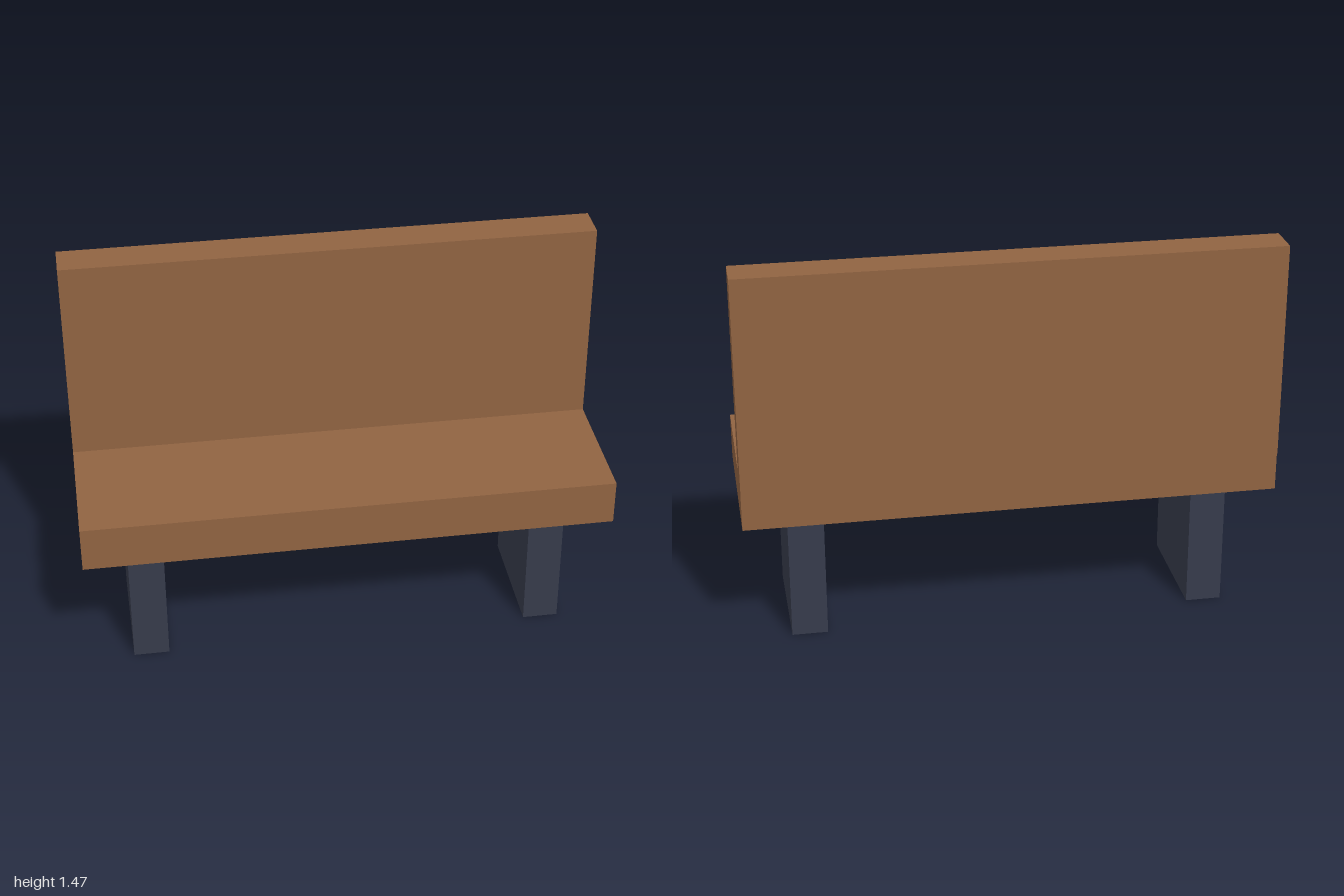
import * as THREE from 'three';

const wood = new THREE.MeshStandardMaterial({ color: 0x906341 });
wood.name = 'brown wood';
const metal = new THREE.MeshStandardMaterial({ color: 0x363b4b });
metal.name = 'dark slate';

// Box given by its [min, max] range on each axis
function box(name, material, [x0, x1], [y0, y1], [z0, z1]) {
  const mesh = new THREE.Mesh(new THREE.BoxGeometry(x1 - x0, y1 - y0, z1 - z0), material);
  mesh.position.set((x0 + x1) / 2, (y0 + y1) / 2, (z0 + z1) / 2);
  mesh.name = name;
  return mesh;
}

export function createModel() {
  const bench = new THREE.Group();
  bench.name = 'bench';

  // Thick seat slab, with the backrest sunk slightly into its rear edge
  bench.add(box('seat', wood, [-1, 1], [0.502, 0.677], [-0.32, 0.326]));
  bench.add(box('backrest', wood, [-1, 1], [0.65, 1.472], [-0.326, -0.185]));

  // Two slab legs
  for (const [name, side] of [['leftLeg', 1], ['rightLeg', -1]]) {
    const leg = box(name, metal, [-0.0675, 0.0675], [0, 0.502], [-0.231, 0.237]);
    leg.position.x = side * 0.765;
    bench.add(leg);
  }
  return bench;
}
